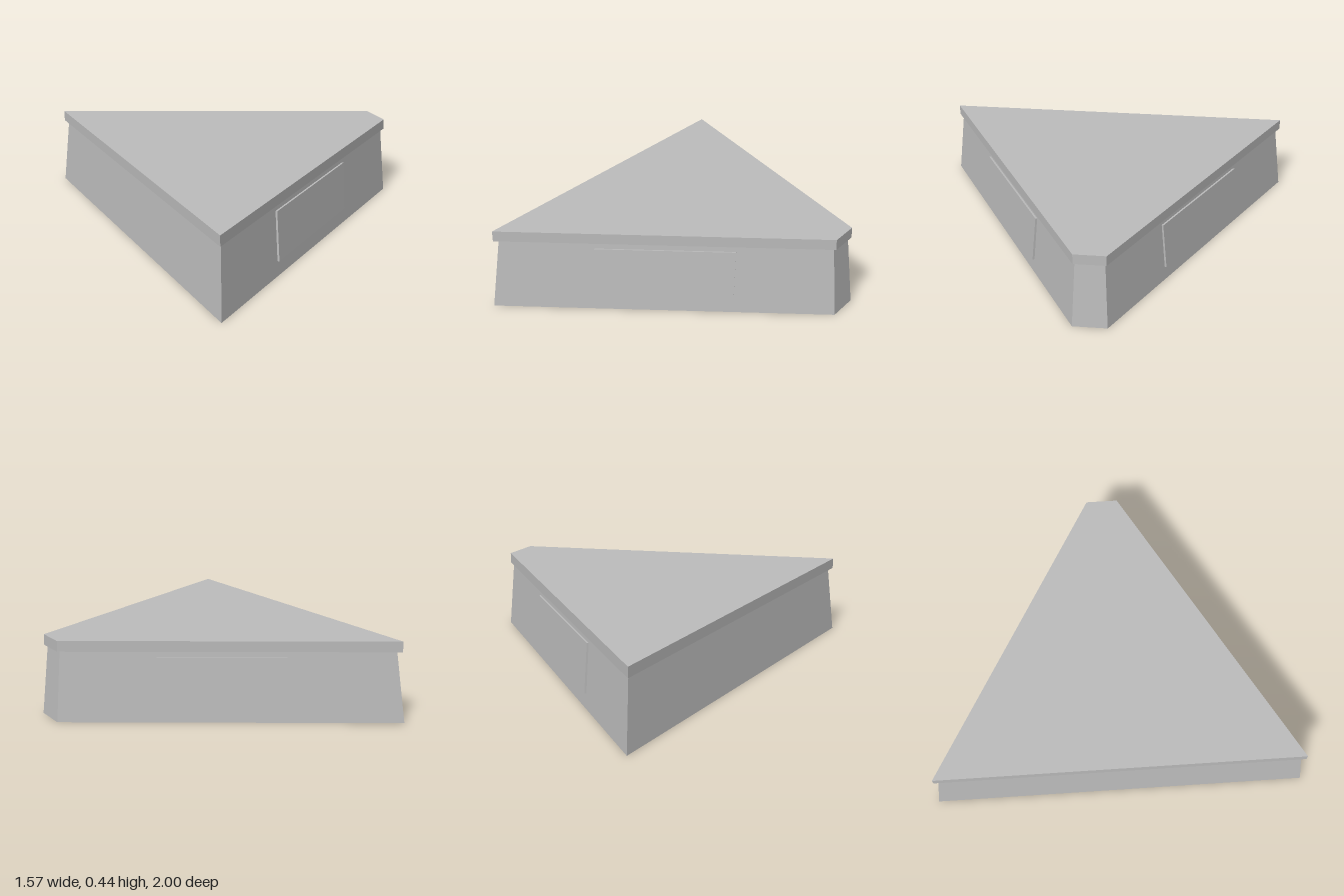
import * as THREE from 'three';

// Joins two four-cornered rings (counter-clockwise seen from the end side) with flat faces
function loft(a, b, { start = false, end = false } = {}) {
  const pos = [];
  const quad = (...p) => [0, 1, 2, 0, 2, 3].forEach((i) => pos.push(...p[i].toArray()));
  for (let i = 0; i < 4; i++) {
    const j = (i + 1) % 4;
    quad(a[i], a[j], b[j], b[i]);
  }
  if (end) quad(...b);
  if (start) quad(...[...a].reverse());
  const geo = new THREE.BufferGeometry();
  geo.setAttribute('position', new THREE.Float32BufferAttribute(pos, 3));
  geo.computeVertexNormals();
  return geo;
}

// Clipped-triangle outline: wide end at -x, narrow end at +x
const outline = (x, wide, narrow, y) => [
  new THREE.Vector3(x, y, narrow),
  new THREE.Vector3(x, y, -narrow),
  new THREE.Vector3(-x, y, -wide),
  new THREE.Vector3(-x, y, wide),
];

export function createModel() {
  const group = new THREE.Group();
  const grey = new THREE.MeshStandardMaterial({ color: 0xbcbcbc, flatShading: true, side: THREE.DoubleSide });
  grey.name = 'lightGrey';
  const add = (name, geo) => {
    const mesh = new THREE.Mesh(geo, grey);
    mesh.name = name;
    group.add(mesh);
  };

  // Thin tapering walls, open underneath
  add('walls', loft(outline(0.785, 1, 0.092, 0), outline(0.755, 0.95, 0.077, 0.378)));

  // Overhanging flat roof slab
  add('roof', loft(outline(0.772, 0.975, 0.085, 0.378), outline(0.772, 0.975, 0.085, 0.435), { start: true, end: true }));

  // Raised panel on each long sloping wall
  const normal = new THREE.Vector3(0.5, 0.078, 0.863).normalize();
  const onWall = (x, y) => new THREE.Vector3(x, y, 0.546 - 0.578 * x - 0.091 * y);
  const base = [onWall(-0.32, 0.08), onWall(0.32, 0.08), onWall(0.32, 0.345), onWall(-0.32, 0.345)];
  const face = base.map((p) => p.clone().addScaledVector(normal, 0.012));
  const mirror = (ring) => ring.map((p) => new THREE.Vector3(p.x, p.y, -p.z)).reverse();
  add('frontPanel', loft(base, face, { end: true }));
  add('backPanel', loft(mirror(base), mirror(face), { end: true }));

  return group;
}
